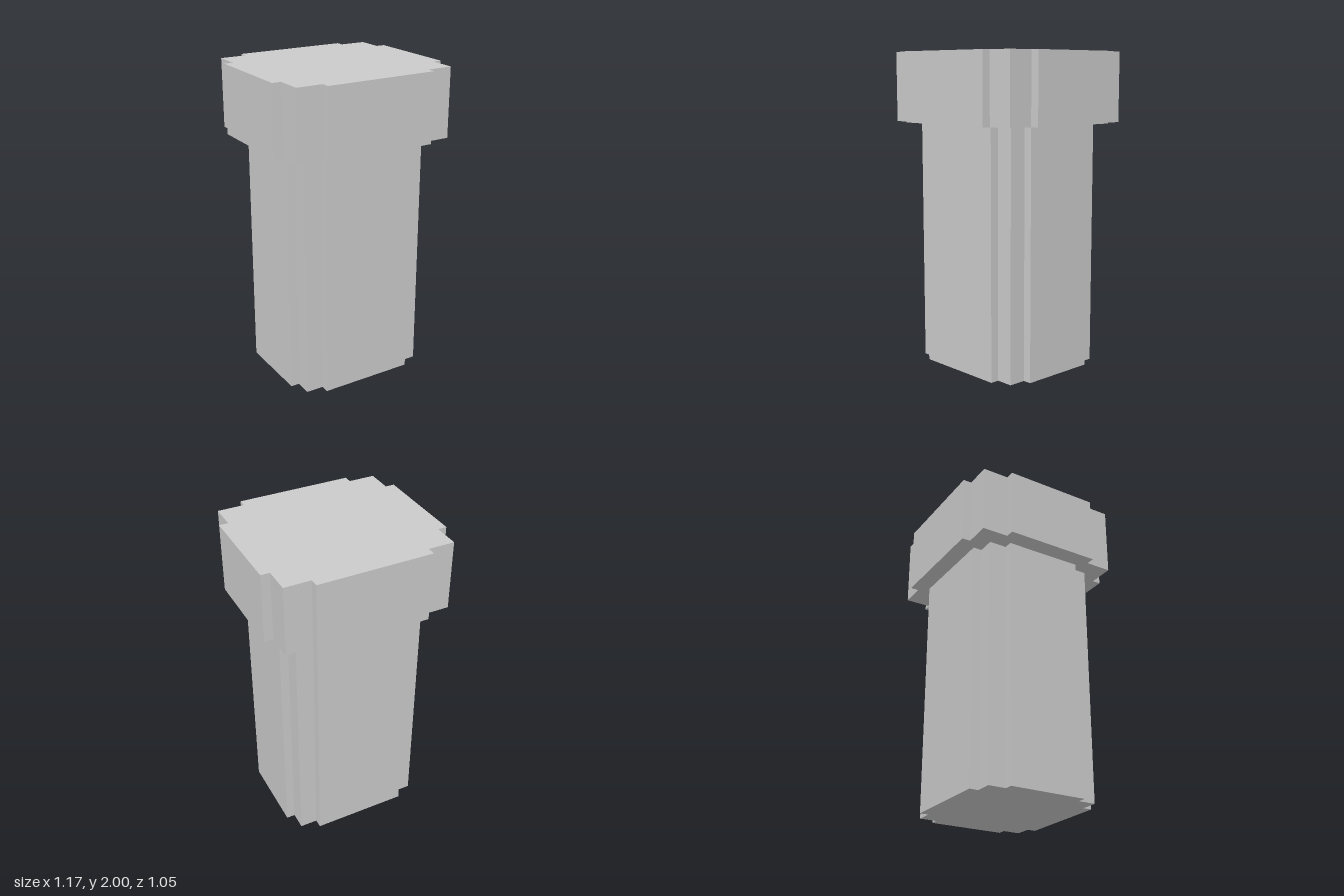
import * as THREE from 'three';

const material = new THREE.MeshStandardMaterial({ color: 0xcccccc, flatShading: true });

// Upright prism whose rectangular plan has a stepped notch at each corner.
function steppedPrism(name, [x1, x2, x3], [z1, z2, z3], bottom, height) {
  // One quadrant, counter-clockwise; x1 > x2 > x3 and z1 > z2 > z3
  const corner = [[x1, z3], [x2, z3], [x2, z2], [x3, z2], [x3, z1]];
  const mirrored = [...corner].reverse();
  const outline = [
    ...corner,
    ...mirrored.map(([x, z]) => [-x, z]),
    ...corner.map(([x, z]) => [-x, -z]),
    ...mirrored.map(([x, z]) => [x, -z]),
  ];
  const shape = new THREE.Shape(outline.map(([x, z]) => new THREE.Vector2(x, z)));
  const geometry = new THREE.ExtrudeGeometry(shape, { depth: height, bevelEnabled: false });
  geometry.rotateX(-Math.PI / 2);
  const mesh = new THREE.Mesh(geometry, material);
  mesh.name = name;
  mesh.position.y = bottom;
  return mesh;
}

export function createModel() {
  const model = new THREE.Group();
  model.name = 'pillar';
  // Tall shaft, then the wider cap overhanging it on every side
  model.add(steppedPrism('shaft', [0.47, 0.416, 0.305], [0.416, 0.36, 0.248], 0, 1.56));
  model.add(steppedPrism('cap', [0.583, 0.527, 0.36], [0.527, 0.473, 0.305], 1.56, 0.44));
  return model;
}
